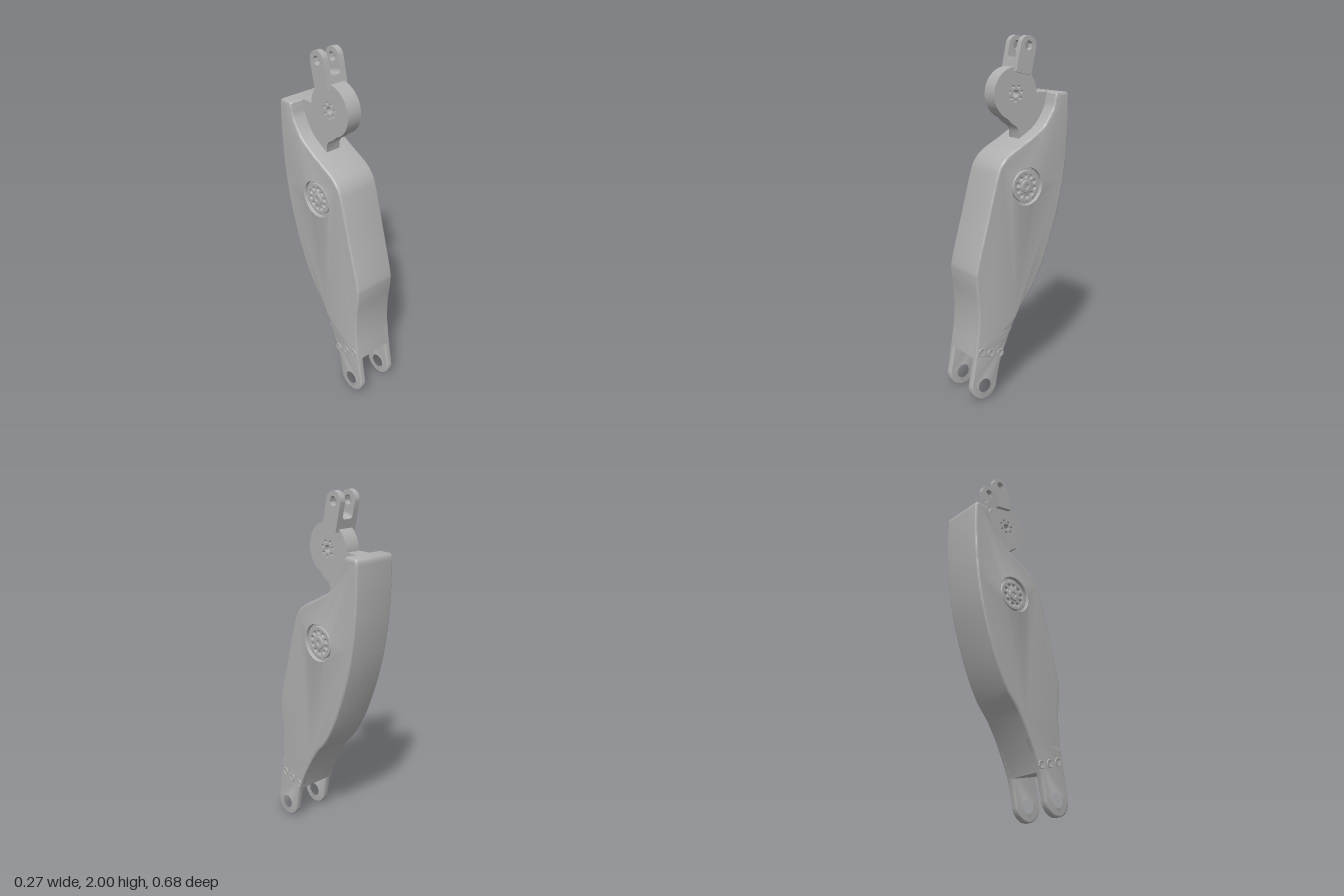
import * as THREE from 'three';
import { toCreasedNormals } from 'three/addons/utils/BufferGeometryUtils.js';

const grey = new THREE.MeshStandardMaterial({ color: 0xb0b0b0 });
grey.name = 'machined grey';

const v2 = ([a, b]) => new THREE.Vector2(a, b);
const smooth = (pts, n) => new THREE.SplineCurve(pts.map(v2)).getPoints(n);

function add(parent, name, geo) {
  const mesh = new THREE.Mesh(toCreasedNormals(geo, 0.62), grey);
  mesh.name = name;
  parent.add(mesh);
  return mesh;
}

// Profile drawn as (z, y), extruded across x from x0 to x1
function slab(shape, x0, x1, bevel = 0) {
  const depth = x1 - x0 - 2 * bevel;
  const geo = new THREE.ExtrudeGeometry(shape, {
    depth, curveSegments: 32, bevelEnabled: bevel > 0, bevelThickness: bevel,
    bevelSize: bevel, bevelOffset: -bevel, bevelSegments: 3,
  });
  return geo.translate(0, 0, -depth / 2).rotateY(-Math.PI / 2).translate((x0 + x1) / 2, 0, 0);
}

function hole(shape, z, y, r) {
  shape.holes.push(new THREE.Path().absarc(z, y, r, 0, Math.PI * 2, true));
}

function disc(z, y, r) {
  return new THREE.Shape().absarc(z, y, r, 0, Math.PI * 2, false);
}

// Ring of holes around a centre
function boltCircle(shape, z, y, radius, r, count) {
  for (let i = 0; i < count; i++) {
    const a = (i / count) * Math.PI * 2 + 0.25;
    hole(shape, z + radius * Math.cos(a), y + radius * Math.sin(a), r);
  }
}

export function createModel() {
  const model = new THREE.Group();
  model.name = 'linkArm';

  // Front and back edges of the arm, shared by the body and the fork
  const front = smooth([[-0.236, 1.66], [-0.22, 1.605], [-0.155, 1.515], [-0.05, 1.45], [0.075, 1.385],
    [0.137, 1.325], [0.17, 1.24], [0.232, 1.015], [0.294, 0.79], [0.302, 0.71], [0.288, 0.56],
    [0.29, 0.42], [0.312, 0.257], [0.338, 0.11]], 90);
  const back = smooth([[0.173, 0.06], [0.138, 0.215], [0.074, 0.363], [-0.01, 0.507], [-0.1, 0.62],
    [-0.19, 0.80], [-0.276, 1.06], [-0.318, 1.29], [-0.334, 1.5], [-0.335, 1.67]], 70);
  const hub = { z: -0.042, y: 1.196 };

  // Main body
  const body = new THREE.Shape([
    ...front.filter((p) => p.y > 0.255),
    ...back.filter((p) => p.y > 0.205),
    ...[[-0.331, 1.685], [-0.32, 1.695], [-0.25, 1.695], [-0.241, 1.688]].map(v2),
  ]);
  hole(body, hub.z, hub.y, 0.118);
  add(model, 'body', slab(body, -0.13, 0.13, 0.012));

  for (const side of [-1, 1]) {
    const label = side > 0 ? 'left' : 'right';
    const span = (a, b) => (side > 0 ? [a, b] : [-b, -a]);

    // Fork arm with a pin eye
    const arm = new THREE.Shape();
    front.filter((p) => p.y < 0.4).forEach((p, i) => (i ? arm.lineTo(p.x, p.y) : arm.moveTo(p.x, p.y)));
    arm.absarc(0.255, 0.086, 0.086, 0.28, -2.83, true);
    back.filter((p) => p.y < 0.4).forEach((p) => arm.lineTo(p.x, p.y));
    hole(arm, 0.255, 0.086, 0.048);
    add(model, label + 'ForkArm', slab(arm, ...span(0.09, 0.13), 0.008));

    // Screws above the fork
    for (const [z, y] of [[0.27, 0.293], [0.207, 0.273], [0.144, 0.256]]) {
      const screw = new THREE.LatheGeometry(
        [[0.024, 0], [0.022, 0.003], [0.016, 0.003], [0.012, 0.0005], [0, 0.0005]].map(v2), 24);
      const mesh = add(model, label + 'Screw', screw);
      mesh.rotation.z = -side * Math.PI / 2;
      mesh.position.set(side * 0.13, y, z);
    }

    // Recessed bearing rings
    const rings = add(model, label + 'Bearing', new THREE.LatheGeometry(
      [[0.121, 0.1], [0.121, 0.122], [0.112, 0.126], [0.106, 0.122], [0.104, 0.108], [0.095, 0.108],
        [0.095, 0.105], [0, 0.105]].map(v2), 64));
    rings.rotation.z = -side * Math.PI / 2;
    rings.position.set(0, hub.y, hub.z);

    // Bearing face plate with bolt holes, and centre boss
    const plate = disc(hub.z, hub.y, 0.09);
    boltCircle(plate, hub.z, hub.y, 0.058, 0.011, 10);
    add(model, label + 'BearingPlate', slab(plate, ...span(0.1, 0.12), 0.003));
    const boss = disc(hub.z, hub.y, 0.036);
    hole(boss, hub.z, hub.y, 0.012);
    add(model, label + 'BearingBoss', slab(boss, ...span(0.115, 0.127), 0.003));
  }

  // Centre rib joining the body to the pivot disc
  const rib = new THREE.Shape([[-0.27, 1.694], [-0.27, 1.42], [-0.05, 1.42], [-0.048, 1.49], [-0.035, 1.515],
    [0, 1.535], [0.03, 1.565], [-0.06, 1.59], [-0.14, 1.66], [-0.155, 1.694]].map(v2));
  add(model, 'centreRib', slab(rib, -0.045, 0.045));

  // Pivot disc
  const pivot = disc(-0.027, 1.695, 0.143);
  hole(pivot, -0.027, 1.695, 0.02);
  boltCircle(pivot, -0.027, 1.695, 0.04, 0.009, 7);
  add(model, 'pivotDisc', slab(pivot, -0.045, 0.045));

  // Tilted clevis on top of the disc
  const clevis = new THREE.Group();
  clevis.name = 'clevis';
  clevis.position.set(0, 1.948, -0.095);
  clevis.rotation.x = -0.22;
  model.add(clevis);

  const w = 0.052;
  const base = new THREE.Shape();
  base.moveTo(-0.068, -0.15);
  base.lineTo(0.068, -0.15);
  base.lineTo(0.068, -0.06);
  base.lineTo(0.034, -0.06);
  base.quadraticCurveTo(0.034, -0.084, 0.012, -0.084);
  base.lineTo(-0.012, -0.084);
  base.quadraticCurveTo(-0.034, -0.084, -0.034, -0.06);
  base.lineTo(-0.068, -0.06);
  add(clevis, 'clevisBase',
    new THREE.ExtrudeGeometry(base, { depth: 2 * w, bevelEnabled: false }).translate(0, 0, -w));

  for (const [x0, x1, name] of [[0.034, 0.068, 'leftClevisEar'], [-0.068, -0.034, 'rightClevisEar']]) {
    const ear = new THREE.Shape();
    ear.moveTo(-w, -0.06);
    ear.lineTo(w, -0.06);
    ear.absarc(0, 0, w, 0, Math.PI, false);
    hole(ear, 0, 0, 0.025);
    add(clevis, name, slab(ear, x0, x1));
  }

  return model;
}
